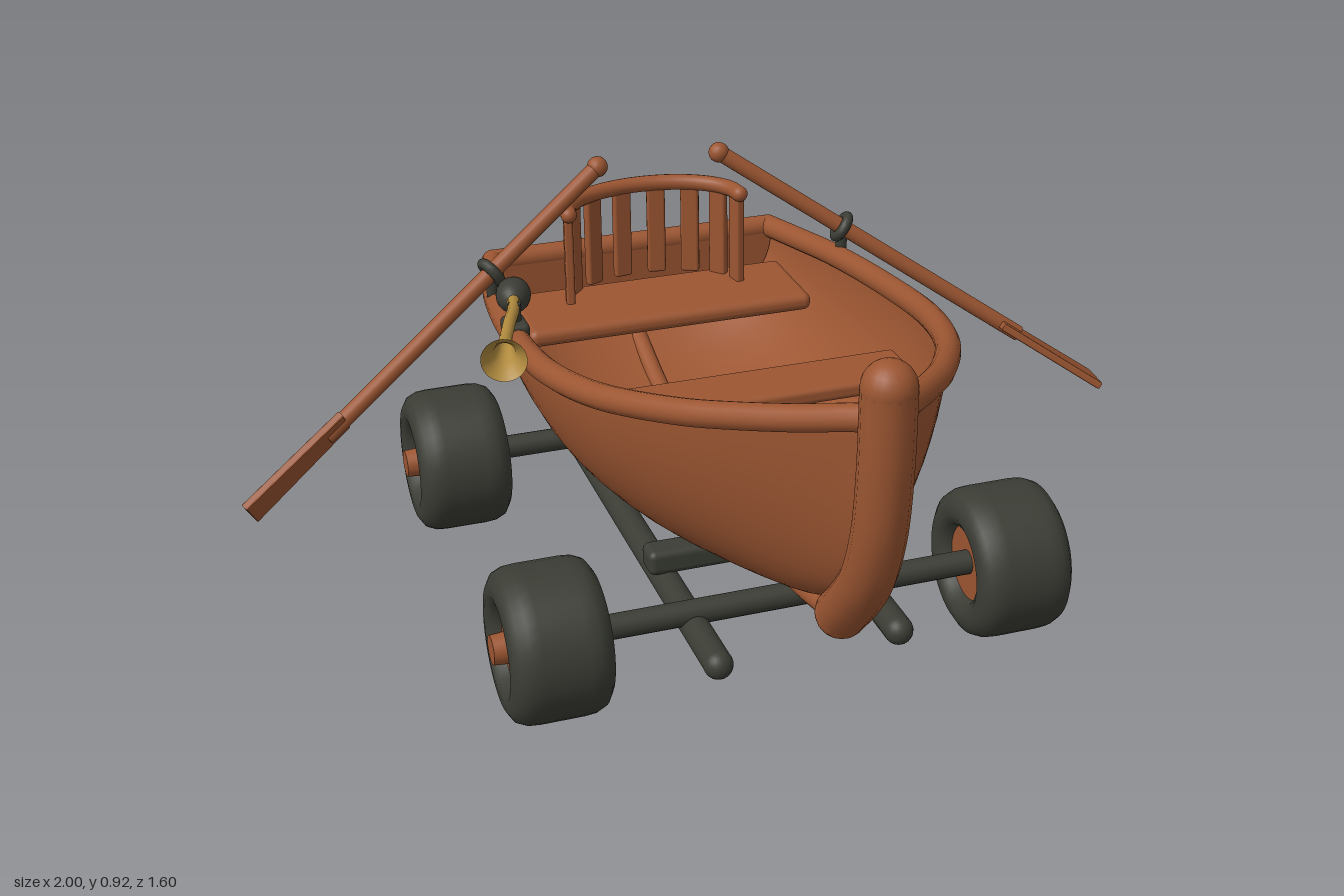
import * as THREE from 'three';
import { RoundedBoxGeometry } from 'three/addons/geometries/RoundedBoxGeometry.js';
import { ParametricGeometry } from 'three/addons/geometries/ParametricGeometry.js';

const V = (x, y, z) => new THREE.Vector3(x, y, z);
const spline = pts => new THREE.CatmullRomCurve3(pts.map(p => V(...p)));

export function createModel() {
  const wood = new THREE.MeshStandardMaterial({ name: 'wood', color: 0x9c5632 });
  const hullWood = new THREE.MeshStandardMaterial({ name: 'hullWood', color: 0x9c5632, side: THREE.DoubleSide });
  const rubber = new THREE.MeshStandardMaterial({ name: 'rubber', color: 0x3b3d35 });
  const brass = new THREE.MeshStandardMaterial({ name: 'brass', color: 0xb08a3e, side: THREE.DoubleSide });

  const model = new THREE.Group();
  model.name = 'wheeledRowboat';

  const add = (parent, name, geo, mat, x = 0, y = 0, z = 0) => {
    const m = new THREE.Mesh(geo, mat);
    m.name = name;
    m.position.set(x, y, z);
    parent.add(m);
    return m;
  };
  const ball = (parent, name, p, r, mat) =>
    add(parent, name, new THREE.SphereGeometry(r, 20, 14), mat, p.x, p.y, p.z);
  // Round bar along a curve, with ball ends
  const bar = (parent, name, curve, r, mat, segments = 40) => {
    add(parent, name, new THREE.TubeGeometry(curve, segments, r, 14), mat);
    ball(parent, name + 'End', curve.getPoint(0), r, mat);
    ball(parent, name + 'End', curve.getPoint(1), r, mat);
  };

  // Hull stations: z, half width, gunwale height, bottom height
  const stations = [
    [-0.775, 0.335, 0.545, 0.345], [-0.65, 0.365, 0.555, 0.285], [-0.5, 0.393, 0.57, 0.25],
    [-0.25, 0.415, 0.595, 0.235], [0, 0.41, 0.625, 0.235], [0.2, 0.362, 0.655, 0.25],
    [0.4, 0.26, 0.698, 0.285], [0.5, 0.19, 0.725, 0.315], [0.6, 0.112, 0.755, 0.375],
    [0.68, 0.047, 0.783, 0.47], [0.725, 0.008, 0.797, 0.57],
  ];
  const sheer = spline(stations.map(([z, w, top]) => [w, top, z]));
  const bottom = spline(stations.map(([z, , , b]) => [0, b, z]));
  const section = (s, a) => {
    const e = 2 / THREE.MathUtils.lerp(2.3, 1.75, s);
    const rim = sheer.getPoint(s), low = bottom.getPoint(s);
    const c = Math.cos(a), k = Math.max(0, Math.sin(a));
    return V(Math.sign(c) * rim.x * Math.abs(c) ** e, low.y + (rim.y - low.y) * (1 - k ** e), rim.z);
  };
  add(model, 'hull', new ParametricGeometry((u, v, t) => t.copy(section(u, v * Math.PI)), 48, 32), hullWood);

  // Transom closing the stern
  const outline = [];
  for (let i = 0; i <= 32; i++) {
    const p = section(0, Math.PI * (1 + i / 32 - 1));
    outline.push(new THREE.Vector2(p.x, p.y));
  }
  add(model, 'transom', new THREE.ExtrudeGeometry(new THREE.Shape(outline), { depth: 0.025, bevelEnabled: false }),
    wood, 0, 0, -0.776);

  // Gunwale rails along both sides and across the stern
  for (const side of [1, -1]) {
    bar(model, side > 0 ? 'leftGunwale' : 'rightGunwale',
      spline(stations.map(([z, w, top]) => [side * w, top, z])), 0.026, wood, 64);
  }
  bar(model, 'sternRail', new THREE.LineCurve3(V(-0.335, 0.545, -0.775), V(0.335, 0.545, -0.775)), 0.026, wood, 1);

  // Stem post and keel
  bar(model, 'stemPost', spline([[0, 0.865, 0.75], [0, 0.7, 0.745], [0, 0.57, 0.727], [0, 0.46, 0.685],
    [0, 0.38, 0.625], [0, 0.312, 0.562]]), 0.051, wood);
  bar(model, 'keel', spline([[0, 0.3, 0.56], [0, 0.26, 0.4], [0, 0.228, 0.2], [0, 0.217, 0],
    [0, 0.222, -0.3], [0, 0.255, -0.55], [0, 0.325, -0.762]]), 0.02, wood);

  // Benches
  add(model, 'middleBench', new RoundedBoxGeometry(0.76, 0.035, 0.14, 3, 0.012), wood, 0, 0.49, -0.04);
  add(model, 'rearSeat', new RoundedBoxGeometry(0.66, 0.04, 0.23, 3, 0.018), wood, 0, 0.475, -0.575);

  // Curved seat back with slats
  const seatBack = new THREE.Group();
  seatBack.name = 'seatBack';
  model.add(seatBack);
  const arc = a => V(0.2 * Math.cos(a), 0.708, -0.59 - 0.135 * Math.sin(a));
  const arcPoints = [];
  for (let i = 0; i <= 12; i++) arcPoints.push(arc(Math.PI * i / 12).toArray());
  bar(seatBack, 'topRail', spline(arcPoints), 0.018, wood);
  for (let i = 0; i < 8; i++) {
    const a = Math.PI * (0.04 + 0.92 * i / 7), p = arc(a);
    const slat = add(seatBack, 'slat', new RoundedBoxGeometry(0.042, 0.22, 0.02, 2, 0.006), wood, p.x, 0.6, p.z);
    slat.rotation.y = Math.atan2(0.135 * Math.cos(a), -0.2 * Math.sin(a));
  }

  // Oars resting in their oarlocks
  for (const side of [1, -1]) {
    const start = V(side * 0.14, 0.825, -0.558), end = V(side * 0.98, 0.25, -0.305);
    const dir = end.clone().sub(start), length = dir.length();
    dir.normalize();
    const oar = new THREE.Group();
    oar.name = side > 0 ? 'leftOar' : 'rightOar';
    model.add(oar);
    const up = side > 0 ? V(0.56, 0.83, 0) : V(-0.39, 0.58, -0.7);
    const across = dir.clone().cross(up).normalize();
    const normal = across.clone().cross(dir);
    oar.applyMatrix4(new THREE.Matrix4().makeBasis(across, dir, normal));
    oar.position.copy(start);
    add(oar, 'shaft', new THREE.CylinderGeometry(0.018, 0.018, length - 0.22, 16), wood, 0, (length - 0.22) / 2, 0);
    add(oar, 'grip', new THREE.SphereGeometry(0.023, 16, 12), wood);
    const blade = new THREE.Shape([[-0.038, -0.27], [0.038, -0.27], [0.05, 0], [-0.05, 0]]
      .map(([x, y]) => new THREE.Vector2(x, y)));
    add(oar, 'blade', new THREE.ExtrudeGeometry(blade,
      { depth: 0.01, bevelSize: 0.004, bevelThickness: 0.004, bevelSegments: 2 }), wood, 0, length, -0.005);
    const at = 0.315 * length;
    const ring = add(oar, 'oarlockRing', new THREE.TorusGeometry(0.026, 0.012, 10, 20), rubber, 0, at, 0);
    ring.rotation.x = Math.PI / 2;
    const p = start.clone().addScaledVector(dir, at);
    add(model, 'oarlockPost', new THREE.CylinderGeometry(0.013, 0.013, 0.07, 12), rubber, p.x, 0.6, p.z);
  }

  // Horn with a squeeze bulb
  const horn = new THREE.Group();
  horn.name = 'horn';
  model.add(horn);
  const mouth = V(-0.5, 0.674, 0.03), throat = V(-0.475, 0.675, -0.06), bulbAt = V(-0.392, 0.648, -0.335);
  add(horn, 'hornPipe', new THREE.TubeGeometry(new THREE.CatmullRomCurve3(
    [bulbAt, V(-0.42, 0.664, -0.22), V(-0.447, 0.675, -0.14), throat]), 24, 0.013, 12), brass);
  const bell = add(horn, 'hornBell', new THREE.LatheGeometry([[0.013, -0.005], [0.016, 0.03], [0.022, 0.06],
    [0.033, 0.08], [0.046, 0.094]].map(([r, h]) => new THREE.Vector2(r, h)), 24), brass, ...throat.toArray());
  const yAxis = V(0, 1, 0);
  bell.quaternion.setFromUnitVectors(yAxis, mouth.clone().sub(throat).normalize());
  const bulb = add(horn, 'hornBulb', new THREE.SphereGeometry(0.037, 20, 14), rubber, ...bulbAt.toArray());
  bulb.quaternion.setFromUnitVectors(yAxis, V(-0.09, 0.03, 0.35).normalize());
  bulb.scale.y = 1.38;
  add(horn, 'hornBracket', new RoundedBoxGeometry(0.05, 0.035, 0.072, 3, 0.012), rubber, -0.413, 0.617, -0.24);
  add(horn, 'hornPost', new THREE.CylinderGeometry(0.014, 0.014, 0.05, 12), rubber, -0.413, 0.645, -0.24);

  // Wheels with hubs, and their axles
  const tyre = new THREE.LatheGeometry([[0.078, -0.07], [0.085, -0.092], [0.105, -0.103], [0.13, -0.1], [0.149, -0.088],
    [0.158, -0.068], [0.16, -0.045], [0.16, 0.045], [0.158, 0.068], [0.149, 0.088], [0.13, 0.1], [0.105, 0.103],
    [0.085, 0.092], [0.078, 0.07]].map(([r, h]) => new THREE.Vector2(r, h)), 40);
  for (const z of [0.24, -0.585]) {
    for (const side of [1, -1]) {
      const wheel = new THREE.Group();
      wheel.name = 'wheel';
      wheel.position.set(side * 0.488, 0.16, z);
      wheel.rotation.z = -side * Math.PI / 2;
      model.add(wheel);
      add(wheel, 'tyre', tyre, rubber);
      add(wheel, 'rim', new THREE.CylinderGeometry(0.08, 0.08, 0.15, 32), wood);
      add(wheel, 'hubCap', new THREE.CylinderGeometry(0.03, 0.034, 0.05, 20), wood, 0, 0.09, 0);
    }
    add(model, 'axle', new THREE.CylinderGeometry(0.026, 0.026, 0.84, 18), rubber, 0, 0.163, z)
      .rotation.z = Math.PI / 2;
  }

  // Chassis rails and the cross bars carrying the hull
  for (const x of [0.19, -0.19]) {
    bar(model, 'chassisRail', new THREE.LineCurve3(V(x, 0.137, 0.4), V(x, 0.137, -0.725)), 0.03, rubber, 1);
  }
  for (const z of [0.052, -0.43]) {
    add(model, 'crossBar', new RoundedBoxGeometry(0.46, 0.055, 0.065, 3, 0.015), rubber, 0, 0.188, z);
  }
  return model;
}
